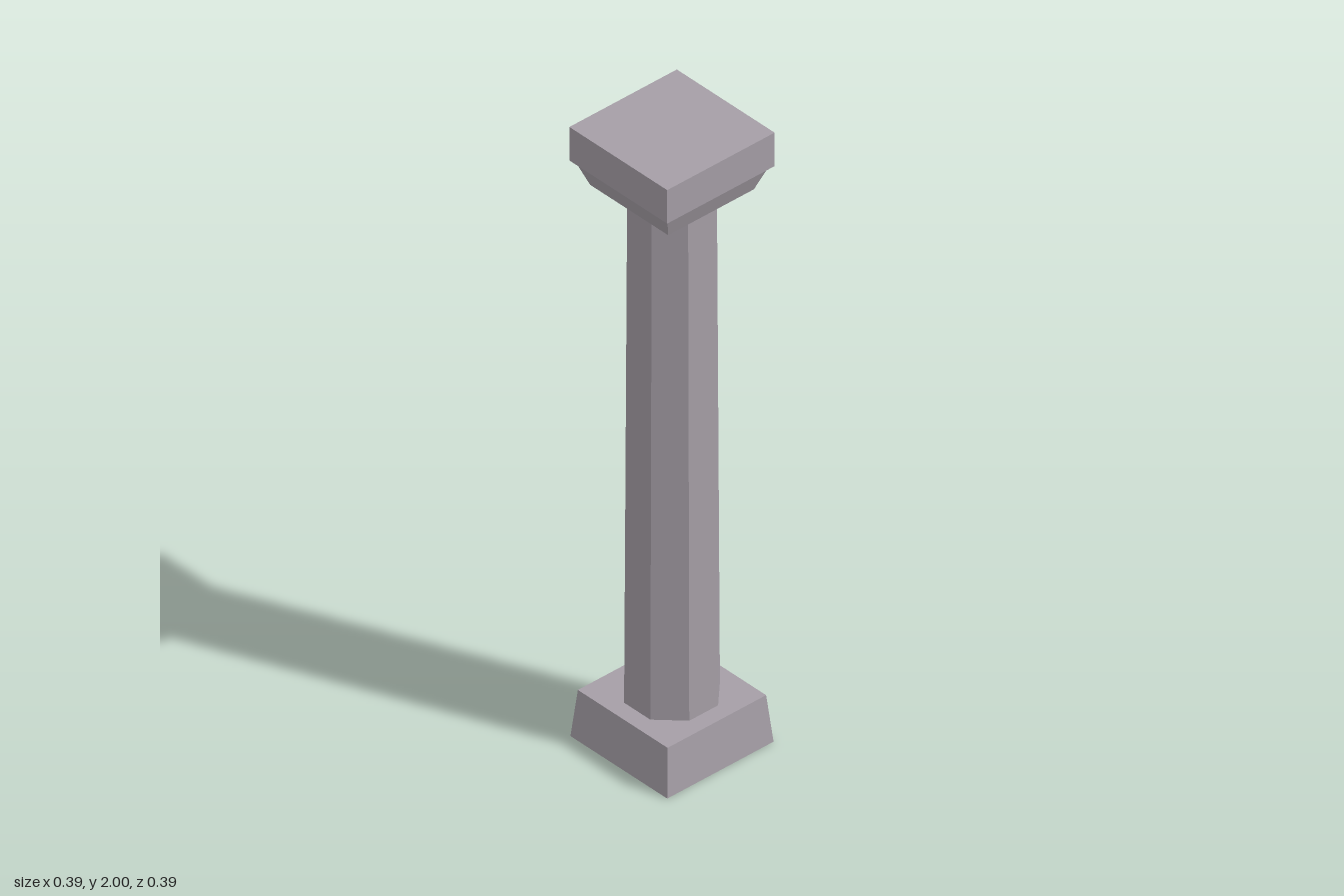
import * as THREE from 'three';

const stone = new THREE.MeshStandardMaterial({ color: 0xa59ea6, flatShading: true });
stone.name = 'stone';

// Tapered prism with flat sides facing the axes; sizes are half-widths across the flats
function prism(name, sides, topHalf, bottomHalf, y0, y1) {
  const k = 1 / Math.cos(Math.PI / sides);
  const geometry = new THREE.CylinderGeometry(topHalf * k, bottomHalf * k, y1 - y0, sides);
  geometry.rotateY(Math.PI / sides);
  geometry.translate(0, (y0 + y1) / 2, 0);
  const mesh = new THREE.Mesh(geometry, stone);
  mesh.name = name;
  return mesh;
}

export function createModel() {
  const column = new THREE.Group();
  column.name = 'column';
  column.add(
    prism('base', 4, 0.177, 0.191, 0, 0.152),
    prism('shaft', 8, 0.117, 0.125, 0.152, 1.812),
    prism('capitalTaper', 4, 0.183, 0.154, 1.812, 1.89),
    prism('capitalSlab', 4, 0.193, 0.193, 1.89, 2),
  );
  return column;
}
